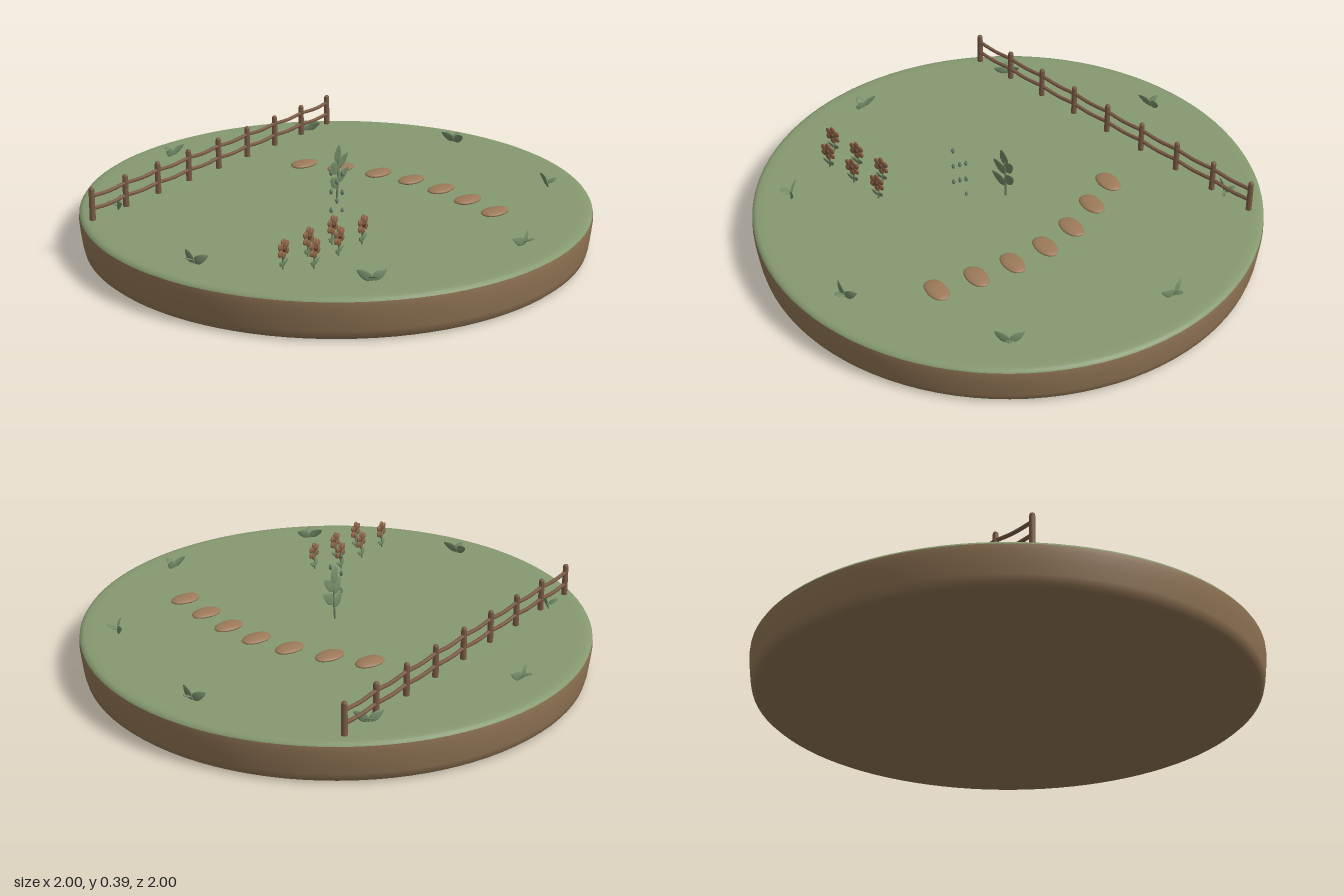
import * as THREE from 'three';

const mat = (name, color) => {
  const m = new THREE.MeshStandardMaterial({ color });
  m.name = name;
  return m;
};

export function createModel() {
  const grass = mat('grass green', 0x85996f);
  const soil = mat('soil brown', 0x8f7353);
  const stone = mat('stone brown', 0x9c7a59);
  const wood = mat('fence brown', 0x7a5a45);
  const leafGreen = mat('leaf green', 0x728a66);
  const petalBrown = mat('petal brown', 0x8c6244);
  const centreBrown = mat('flower centre brown', 0x5e4230);
  const dropGreen = mat('drop green', 0x657c68);

  const root = new THREE.Group();
  root.name = 'garden';
  const G = 0.166; // ground level

  const add = (parent, name, geo, material, x = 0, y = 0, z = 0) => {
    const m = new THREE.Mesh(geo, material);
    m.name = name;
    m.position.set(x, y, z);
    parent.add(m);
    return m;
  };
  const group = (name, parent = root) => {
    const g = new THREE.Group();
    g.name = name;
    parent.add(g);
    return g;
  };
  const lathe = (pts) => new THREE.LatheGeometry(pts.map(([x, y]) => new THREE.Vector2(x, y)), 96);
  const tube = (pts, r, seg = 12) =>
    new THREE.TubeGeometry(new THREE.CatmullRomCurve3(pts.map((p) => new THREE.Vector3(...p))), seg, r, 8);

  // Round base: earth with rounded lower rim, grass cap on top
  add(root, 'soilBase', lathe([[0, 0], [0.95, 0], [0.97, 0.003], [0.984, 0.015], [0.99, 0.04],
    [0.996, 0.09], [1, 0.13], [0.998, 0.152]]), soil);
  add(root, 'grassTop', lathe([[0.998, 0.152], [0.993, 0.16], [0.98, 0.165], [0.95, G], [0, G]]), grass);

  // Thin pointed leaf: grows along +y from its base, cupped towards +z
  const leafGeo = (len, width, cup = 0.15) => {
    const g = new THREE.SphereGeometry(0.5, 14, 10);
    const p = g.attributes.position;
    for (let i = 0; i < p.count; i++) {
      const t = p.getY(i) + 0.5;
      const taper = 1.15 - 0.6 * t * t;
      p.setXYZ(i, p.getX(i) * width * taper, t * len, p.getZ(i) * 0.006 + cup * len * t * t);
    }
    g.computeVertexNormals();
    return g;
  };

  // Fence: nine posts, two rails sagging between them
  const fence = group('fence');
  fence.position.set(-0.75, 0, -0.59);
  const step = 0.185;
  for (let i = 0; i < 9; i++) {
    add(fence, 'fencePost', new THREE.CylinderGeometry(0.011, 0.012, 0.122, 10), wood, i * step, G + 0.06, 0);
    add(fence, 'postCap', new THREE.SphereGeometry(0.011, 10, 6), wood, i * step, G + 0.121, 0);
    if (i === 8) continue;
    for (const y of [0.211, 0.262]) {
      const a = i * step;
      add(fence, 'fenceRail', tube([[a, y, 0], [a + step / 2, y - 0.006, 0], [a + step, y, 0]], 0.0075), wood);
    }
  }

  // Stepping stones: flattened, slightly egg-shaped
  const stoneGeo = new THREE.SphereGeometry(1, 28, 12);
  const sp = stoneGeo.attributes.position;
  for (let i = 0; i < sp.count; i++) {
    const x = sp.getX(i), z = sp.getZ(i);
    sp.setXYZ(i, x * 0.062 + 0.006 * z, sp.getY(i) * 0.012, z * 0.042 * (z < 0 ? 1.05 - 0.2 * x : 0.95 + 0.1 * x));
  }
  stoneGeo.computeVertexNormals();
  [[0.23, -0.33], [0.28, -0.18], [0.32, -0.02], [0.33, 0.135], [0.31, 0.29], [0.27, 0.44], [0.22, 0.595]]
    .forEach(([x, z]) => add(root, 'steppingStone', stoneGeo, stone, x, G + 0.005, z));

  // Central plant: stem with leaves alternating up both sides
  const plant = group('centralPlant');
  plant.position.set(-0.005, G, 0.008);
  add(plant, 'plantStem', tube([[0, -0.005, 0], [0.003, 0.08, 0.003], [0, 0.17, 0.006]], 0.0045), leafGreen);
  const bigLeaf = leafGeo(0.075, 0.042);
  [[0.05, 0.9], [0.068, -0.85], [0.105, 0.75], [0.122, -0.75], [0.148, 0.1]].forEach(([y, a]) => {
    add(plant, 'plantLeaf', bigLeaf, leafGreen, 0, y, 0.004).rotation.z = a;
  });

  // Small ground sprouts around the rim: two upright side leaves and one outward leaf
  const sideLeaf = leafGeo(0.062, 0.032, 0.25);
  const outLeaf = leafGeo(0.045, 0.034, 0.1);
  for (let i = 0; i < 8; i++) {
    const a = (i * Math.PI) / 4;
    const s = group('groundSprout');
    s.position.set(Math.sin(a) * 0.85, G, Math.cos(a) * 0.85);
    s.rotation.y = a;
    add(s, 'sproutStem', new THREE.CylinderGeometry(0.003, 0.004, 0.02, 8), leafGreen, 0, 0.006, 0);
    for (const k of [-1, 1]) {
      const l = add(s, 'sproutLeaf', sideLeaf, leafGreen, 0, 0.006, 0);
      l.rotation.set(0, Math.PI, k * 1.05);
    }
    const o = add(s, 'outerLeaf', outLeaf, leafGreen, 0, 0.012, 0.003);
    o.rotation.x = 1.0;
  }

  // Flower bed: two staggered rows of upright flowers
  const petalGeo = new THREE.SphereGeometry(1, 12, 8).scale(0.0135, 0.016, 0.006);
  const flowerLeaf = leafGeo(0.036, 0.018);
  [[-0.705, 0.287], [-0.56, 0.287], [-0.415, 0.287], [-0.635, 0.372], [-0.49, 0.372], [-0.345, 0.372]]
    .forEach(([x, z]) => {
      const f = group('flower');
      f.position.set(x, G, z);
      f.rotation.y = 0.12;
      add(f, 'flowerStem', tube([[0, -0.004, 0], [0.003, 0.035, 0], [0, 0.078, 0]], 0.0035), leafGreen);
      for (const k of [-1, 1]) {
        add(f, 'flowerLeaf', flowerLeaf, leafGreen, 0, 0.014, 0).rotation.z = k * 0.95;
      }
      for (let i = 0; i < 6; i++) {
        const a = (i * Math.PI) / 3;
        const p = add(f, 'petal', petalGeo, petalBrown, Math.sin(a) * 0.023, 0.078 + Math.cos(a) * 0.023, 0.004);
        p.rotation.z = -a;
      }
      add(f, 'flowerCentre', new THREE.SphereGeometry(0.011, 12, 8).scale(1, 1, 0.8), centreBrown, 0, 0.078, 0.007);
    });

  // Falling drops: three columns, pointed at the top
  const dropGeo = new THREE.SphereGeometry(1, 10, 10);
  const dp = dropGeo.attributes.position;
  for (let i = 0; i < dp.count; i++) {
    const y = dp.getY(i), r = 0.007 * (y > 0 ? 1 - 0.5 * y : 1);
    dp.setXYZ(i, dp.getX(i) * r, y * 0.0125, dp.getZ(i) * r);
  }
  dropGeo.computeVertexNormals();
  [[-0.187, 0.343], [-0.15, 0.296], [-0.115, 0.32]].forEach(([x, top]) => {
    for (let k = 0; k < 3; k++) {
      const y = top - k * 0.075;
      if (y > G) add(root, 'waterDrop', dropGeo, dropGreen, x, y, 0.115);
    }
  });

  return root;
}
